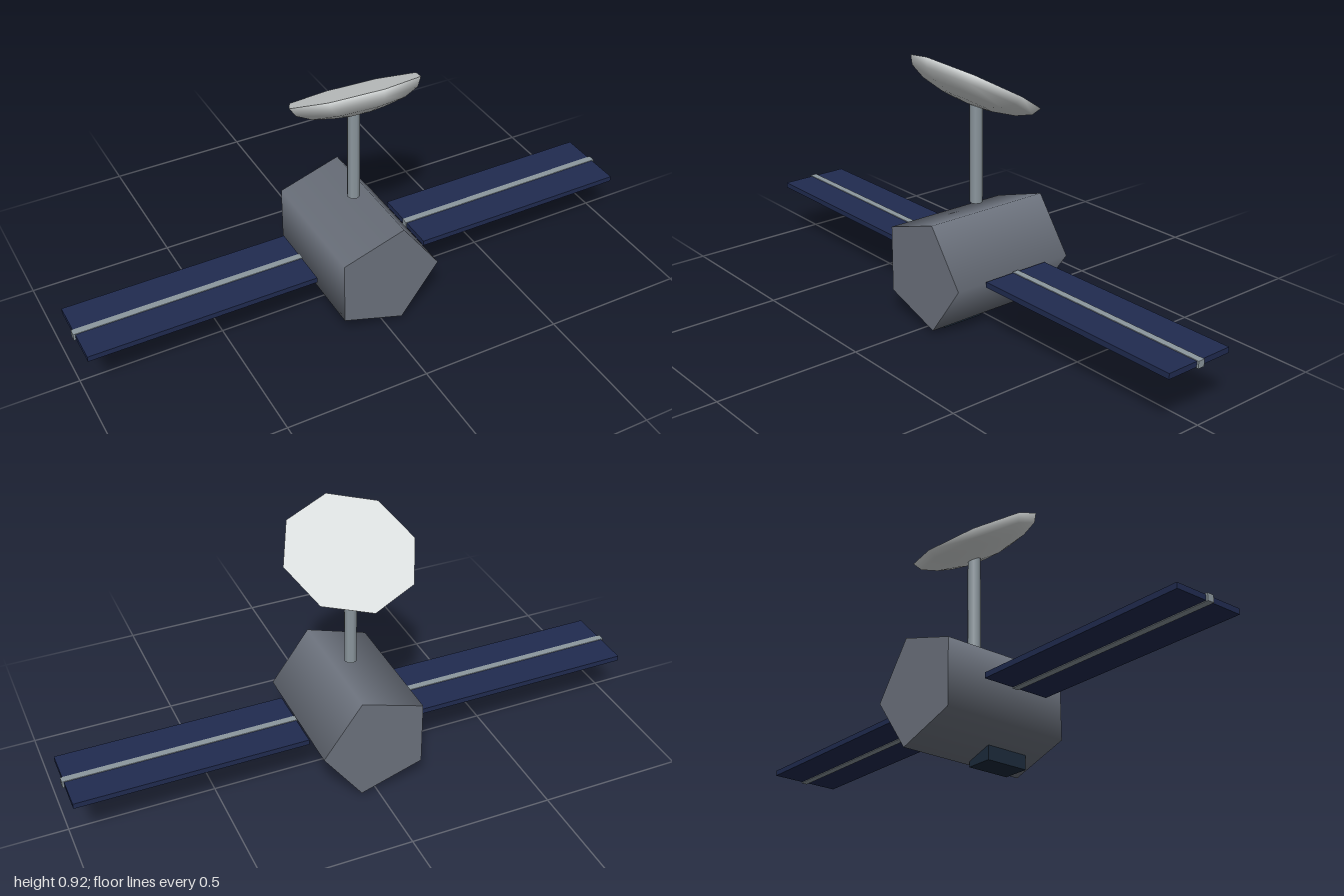
import * as THREE from 'three';

const paint = (name, color) => {
  const m = new THREE.MeshStandardMaterial({ color });
  m.name = name;
  return m;
};

export function createModel() {
  const model = new THREE.Group();
  model.name = 'satellite';
  const hullGrey = paint('hull grey', 0x6d737e);
  const metal = paint('metal grey', 0x8c979e);
  const navy = paint('panel navy', 0x202b50);
  const white = paint('dish white', 0xd9dddd);
  const dark = paint('sensor dark blue', 0x1c2b3c);

  const add = (parent, name, geometry, material, x = 0, y = 0, z = 0) => {
    const mesh = new THREE.Mesh(geometry, material);
    mesh.name = name;
    mesh.position.set(x, y, z);
    parent.add(mesh);
    return mesh;
  };

  // Five-sided hull lying along z, one corner towards +x
  const hull = new THREE.CylinderGeometry(0.195, 0.195, 0.467, 5, 1, false, Math.PI / 2);
  hull.rotateX(Math.PI / 2);
  add(model, 'hull', hull, hullGrey, 0, 0.199, 0);

  // Sensor box under the hull
  add(model, 'sensorBox', new THREE.BoxGeometry(0.095, 0.08, 0.156), dark, -0.002, 0.04, 0.095);

  // Solar wings, each a panel with a thin spar through it
  for (const side of [1, -1]) {
    const wing = new THREE.Group();
    wing.name = side > 0 ? 'leftWing' : 'rightWing';
    add(wing, 'solarPanel', new THREE.BoxGeometry(0.79, 0.019, 0.252), navy, side * 0.598, 0.198, 0);
    add(wing, 'spar', new THREE.BoxGeometry(0.8, 0.024, 0.024), metal, side * 0.6, 0.198, 0);
    model.add(wing);
  }

  // Mast
  add(model, 'mast', new THREE.CylinderGeometry(0.022, 0.022, 0.345, 8), metal, 0, 0.5655, 0);

  // Shallow eight-sided dish with a flat face, tilted backwards
  const dish = new THREE.Group();
  dish.name = 'dish';
  const bowl = new THREE.SphereGeometry(0.227, 8, 4, 0, Math.PI * 2, Math.PI / 2, Math.PI / 2);
  bowl.scale(1, 0.333, 1);
  add(dish, 'dishBowl', bowl, white);
  const face = new THREE.CircleGeometry(0.227, 8);
  face.rotateX(-Math.PI / 2);
  add(dish, 'dishFace', face, white);
  dish.position.set(0, 0.807, 0.002);
  dish.rotation.x = -Math.PI / 6;
  model.add(dish);

  return model;
}
